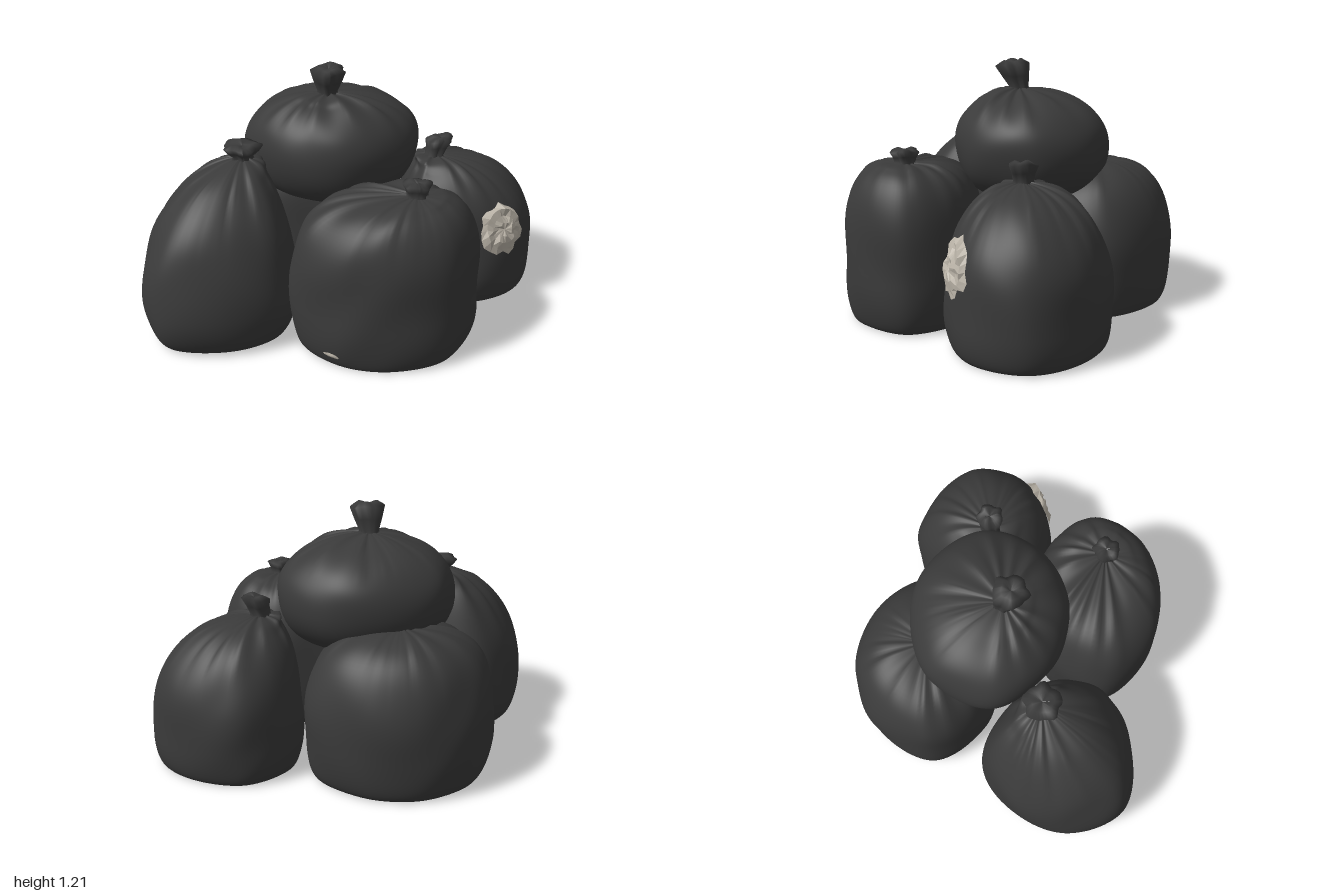
import * as THREE from 'three';

const bagPlastic = new THREE.MeshStandardMaterial({ color: 0x3a3a3a });
const wastePaper = new THREE.MeshStandardMaterial({ color: 0xbdb6aa, side: THREE.DoubleSide });

// centre: [x, z] of the footprint; radii: footprint radius every 45 degrees, from +x through +z
// floor, wide: heights of the underside and the widest level; sole: size of the flat underside
// bulge: squareness of the shoulder; knot: [x, y, z] of the neck
// tuft: [radius, height] of the tied end; lean: its drift [x, z] per unit height
const BAGS = [
  {
    name: 'rightBag', centre: [-0.63, 0.2], radii: [0.36, 0.395, 0.375, 0.42, 0.37, 0.355, 0.39, 0.345],
    floor: 0, wide: 0.2, sole: 0.8, bulge: 2, knot: [-0.5, 0.81, 0.11], tuft: [0.088, 0.065], lean: [0, 0],
  },
  {
    name: 'frontBag', centre: [0.12, 0.47], radii: [0.44, 0.38, 0.33, 0.36, 0.44, 0.4, 0.33, 0.38],
    floor: 0, wide: 0.23, sole: 0.88, bulge: 3.4, knot: [0.25, 0.745, 0.5], tuft: [0.064, 0.065], lean: [0, 0],
  },
  {
    name: 'leftBag', centre: [0.62, -0.07], radii: [0.37, 0.36, 0.36, 0.39, 0.34, 0.375, 0.375, 0.345],
    floor: 0, wide: 0.16, sole: 0.88, bulge: 2.5, knot: [0.46, 0.7, -0.05], tuft: [0.064, 0.095], lean: [0.3, 0],
  },
  {
    name: 'backBag', centre: [-0.12, -0.44], radii: [0.45, 0.44, 0.37, 0.41, 0.45, 0.39, 0.36, 0.375],
    floor: 0, wide: 0.2, sole: 0.86, bulge: 3, knot: [-0.12, 0.7, -0.4], tuft: [0.06, 0.06], lean: [0, 0],
  },
  {
    name: 'topBag', centre: [-0.05, -0.1], radii: [0.43, 0.41, 0.385, 0.385, 0.43, 0.405, 0.37, 0.395],
    floor: 0.55, wide: 0.79, sole: 0.5, bulge: 2.2, knot: [-0.08, 1.06, -0.03], tuft: [0.08, 0.135], lean: [0, 0.28],
  },
];

const TAU = Math.PI * 2;
const { smoothstep } = THREE.MathUtils;
const hash = (a, b) => {
  const h = Math.sin(a * 127.1 + b * 311.7) * 43758.5453;
  return h - Math.floor(h);
};

// Side profile: flat sole, rounded lower edge, then a squarish dome up to the neck
function profile({ floor, wide, sole, bulge, knot }, v) {
  if (v < 0.16) return [sole * v / 0.16, floor];
  if (v < 0.4) {
    const t = (v - 0.16) / 0.24 * Math.PI / 2;
    return [sole + (1 - sole) * Math.sin(t), floor + (wide - floor) * (1 - Math.cos(t))];
  }
  const t = (v - 0.4) / 0.6 * 1.48, c = Math.cos(t), s = Math.sin(t);
  const r = (c ** bulge + s ** bulge) ** (-1 / bulge);
  return [c * r, wide + (knot[1] - wide) * s * r];
}

// Returns a function (u, v) -> point on the bag, u around and v upward
function bagSurface(bag, seed) {
  const { centre: [cx, cz], radii, knot, floor } = bag;
  const ring = new THREE.CatmullRomCurve3(radii.map((r, i) => {
    const a = i / radii.length * TAU;
    return new THREE.Vector3(cx + r * Math.cos(a), 0, cz + r * Math.sin(a));
  }), true);
  const middle = new THREE.Vector3(cx, 0, cz), neck = new THREE.Vector3(knot[0], 0, knot[2]);
  return (u, v) => {
    const [s, y] = profile(bag, v);
    const a = u * TAU;
    const p = middle.clone().lerp(neck, smoothstep(v, 0.4, 0.6));
    const edge = ring.getPoint(((u % 1) + 1) % 1).sub(p);
    // round off toward the neck
    const round = smoothstep(v, 0.82, 1);
    edge.lerp(edge.clone().setLength(0.45), round);
    // slanting slack folds on the sides
    const slack = 0.016 * Math.sin(Math.PI * v) * Math.sin(15 * y + 2 * Math.sin(2 * a + seed) + seed)
      * Math.sin(3 * a + seed * 2);
    // gathered pleats running to the neck
    const gather = 0.02 * smoothstep(v, 0.52, 0.85);
    const phase = a + 0.15 * Math.sin(3 * a + seed) + 0.25 * (1 - v);
    const fold = 0.6 * Math.abs(Math.sin(phase * 6.5)) ** 0.7
      + 0.4 * Math.sin(phase * 9 + seed) * Math.sin(phase * 5);
    p.addScaledVector(edge, s * (1 + slack - gather * fold));
    p.y = Math.max(floor, y + gather * (0.4 - fold) * (1 - 0.6 * round));
    return p;
  };
}

function indexedGeometry(points, index) {
  const g = new THREE.BufferGeometry().setFromPoints(points);
  g.setIndex(index);
  g.computeVertexNormals();
  return g;
}

// Closed grid wrapped around the bag
function bagGeometry(surface, around = 104, up = 56) {
  const points = [], index = [];
  for (let j = 0; j <= up; j++) {
    for (let i = 0; i < around; i++) {
      points.push(surface(i / around, j / up));
      if (j === up) continue;
      const a = j * around + i, b = j * around + (i + 1) % around;
      index.push(a, a + around, b, b, a + around, b + around);
    }
  }
  return indexedGeometry(points, index);
}

// Pleated, slanting tied end above the neck
function tuftGeometry({ tuft: [r, h], lean }, seed) {
  const half = [[0.06, -0.03], [0.045, 0.005], [r * 0.8, h * 0.45], [r, h * 0.85], [r * 0.6, h], [0, h * 0.9]];
  const g = new THREE.LatheGeometry(half.map(([x, y]) => new THREE.Vector2(x, y)), 28);
  const p = g.attributes.position;
  for (let i = 0; i < p.count; i++) {
    const x = p.getX(i), y = p.getY(i), z = p.getZ(i);
    const a = Math.atan2(z, x), k = 1 + 0.09 * Math.sin(5 * a + seed) + 0.05 * Math.sin(8 * a);
    const t = Math.max(0, y);
    const tilt = t / h * (0.4 * (lean[0] * x - lean[1] * z) + 0.006 * Math.sin(3 * a + seed));
    p.setXYZ(i, x * k + lean[0] * t, y + tilt, z * k + lean[1] * t);
  }
  g.computeVertexNormals();
  return g;
}

// Crumpled, ragged patch of waste showing through a tear near the target point
function tearGeometry(surface, target, du, dv, lift, sides, rings) {
  let best = Infinity, u0 = 0, v0 = 0;
  for (let i = 0; i < 120; i++) {
    for (let j = 16; j < 90; j++) {
      const d = surface(i / 120, j / 100).distanceTo(target);
      if (d < best) { best = d; u0 = i / 120; v0 = j / 100; }
    }
  }
  const points = [], index = [];
  for (let r = 0; r <= rings; r++) {
    for (let i = 0; i < sides; i++) {
      const angle = (i / sides) * TAU + (r % 2) * 0.12;
      const k = (r / rings) * (r === rings ? 0.82 + 0.3 * hash(i, 3) : 1);
      const u = u0 + du * k * Math.cos(angle), v = v0 + dv * k * Math.sin(angle);
      const p = surface(u, v), e = 0.01;
      const n = surface(u, v + e).sub(p).cross(surface(u + e, v).sub(p)).normalize();
      const bump = r === rings ? 0.15 : 0.3 + hash(r ? Math.floor(i / 2) : 0, r + 7);
      points.push(p.addScaledVector(n, lift * bump));
      if (r === rings) continue;
      const a = r * sides + i, b = r * sides + (i + 1) % sides;
      index.push(a, b, a + sides, b, b + sides, a + sides);
    }
  }
  const flat = indexedGeometry(points, index).toNonIndexed();
  flat.computeVertexNormals();
  return flat;
}

export function createModel() {
  const model = new THREE.Group();
  model.name = 'rubbishBagPile';
  BAGS.forEach((bag, i) => {
    const group = new THREE.Group();
    group.name = bag.name;
    model.add(group);
    const add = (name, geometry, material) => {
      const mesh = new THREE.Mesh(geometry, material);
      mesh.name = name;
      group.add(mesh);
      return mesh;
    };
    const seed = i + 1, surface = bagSurface(bag, seed);
    add('bagBody', bagGeometry(surface), bagPlastic);
    add('tiedEnd', tuftGeometry(bag, seed), bagPlastic).position.set(...bag.knot);
    // waste showing through the tears
    if (bag.name === 'leftBag') {
      add('tornPatch', tearGeometry(surface, new THREE.Vector3(0.76, 0.41, 0.25), 0.057, 0.1, 0.028, 22, 4), wastePaper);
    }
    if (bag.name === 'frontBag') {
      add('smallTear', tearGeometry(surface, new THREE.Vector3(-0.17, 0.07, 0.69), 0.018, 0.012, 0.012, 10, 1), wastePaper);
    }
  });
  return model;
}
